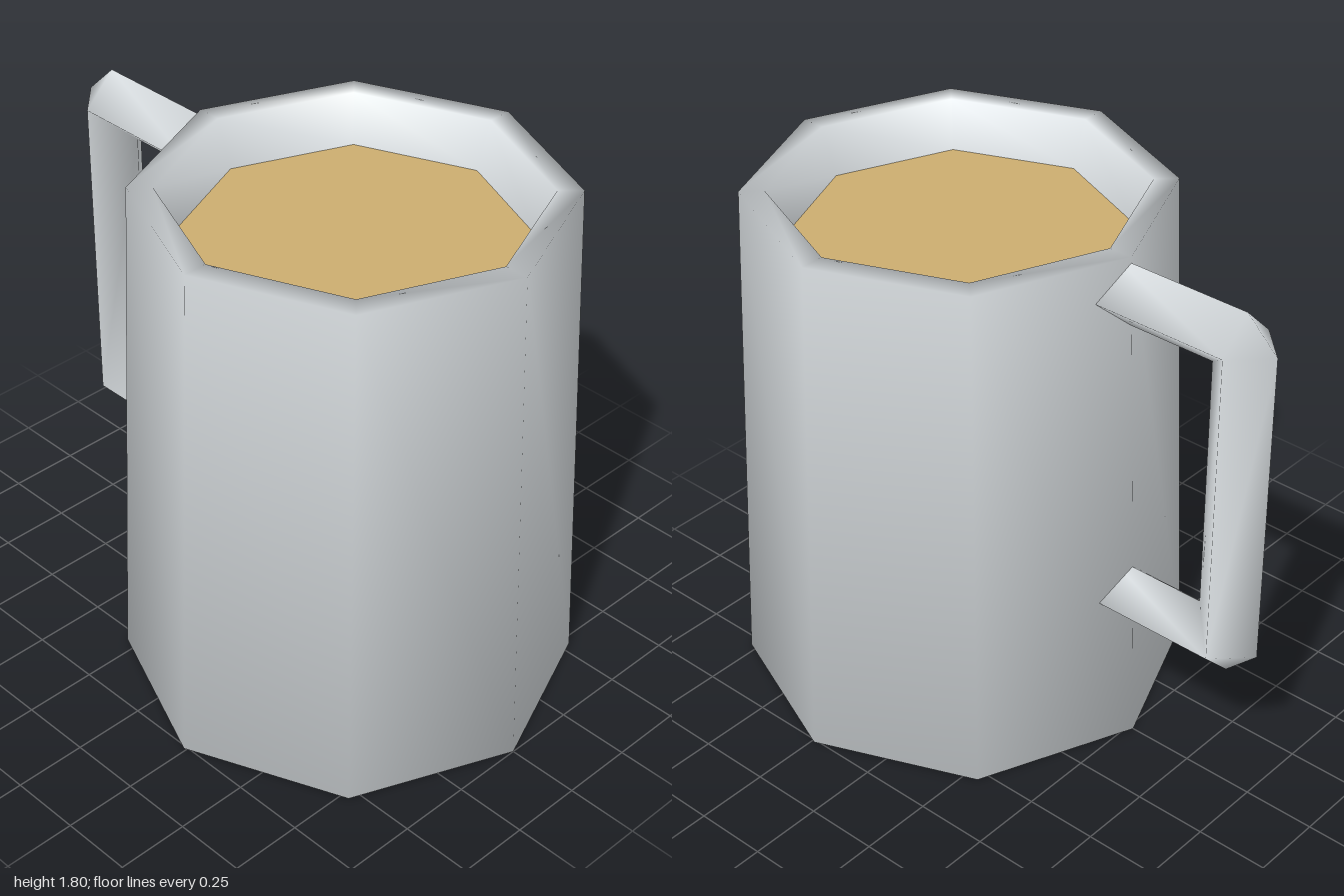
import * as THREE from 'three';
import { mergeVertices } from 'three/addons/utils/BufferGeometryUtils.js';

const CUP_Z = 0.24; // cup sits forward of centre to leave room for the handle

// Lofts diamond-shaped rings given as centre, outer and inner [y, z] points
function loftDiamond(rings, halfWidth) {
  const pos = [], index = [];
  for (const [c, o, i] of rings) {
    pos.push(halfWidth, ...c, 0, ...o, -halfWidth, ...c, 0, ...i);
  }
  for (let r = 0; r < rings.length - 1; r++) {
    for (let k = 0; k < 4; k++) {
      const a = r * 4 + k, b = r * 4 + (k + 1) % 4;
      index.push(a, a + 4, b, b, a + 4, b + 4);
    }
  }
  const geo = new THREE.BufferGeometry();
  geo.setAttribute('position', new THREE.Float32BufferAttribute(pos, 3));
  geo.setIndex(index);
  const merged = mergeVertices(geo);
  merged.computeVertexNormals();
  return merged;
}

export function createModel() {
  const group = new THREE.Group();
  const ceramic = new THREE.MeshStandardMaterial({ color: 0xdadfe2 });
  ceramic.name = 'pale grey ceramic';
  const coffee = new THREE.MeshStandardMaterial({ color: 0xcdae70 });
  coffee.name = 'milky brown drink';

  const add = (name, geo, mat) => {
    const mesh = new THREE.Mesh(geo, mat);
    mesh.name = name;
    group.add(mesh);
    return mesh;
  };

  // Eight-sided tapered cup: base, outer wall, rim and sloping inner wall
  const profile = [[0, 0], [0.76, 0], [0.692, 1.8], [0.61, 1.8], [0.555, 1.64]]
    .map(([r, y]) => new THREE.Vector2(r, y));
  add('cup', new THREE.LatheGeometry(profile, 8), ceramic).position.z = CUP_Z;

  // Drink surface, corners aligned with the cup
  const drink = add('drink', new THREE.CircleGeometry(0.556, 8), coffee);
  drink.rotation.x = -Math.PI / 2;
  drink.position.set(0, 1.64, CUP_Z);

  // Handle: upper half, then the same rings mirrored for the lower half
  const upper = [
    [[1.67, -0.38], [1.78, -0.38], [1.565, -0.38]],
    [[1.67, -0.885], [1.78, -0.885], [1.565, -0.768]],
    [[1.67, -0.885], [1.67, -1], [1.565, -0.768]],
  ];
  const lower = upper.map(ring => ring.map(([y, z]) => [2.235 - y, z])).reverse();
  add('handle', loftDiamond([...upper, ...lower], 0.113), ceramic);

  return group;
}
